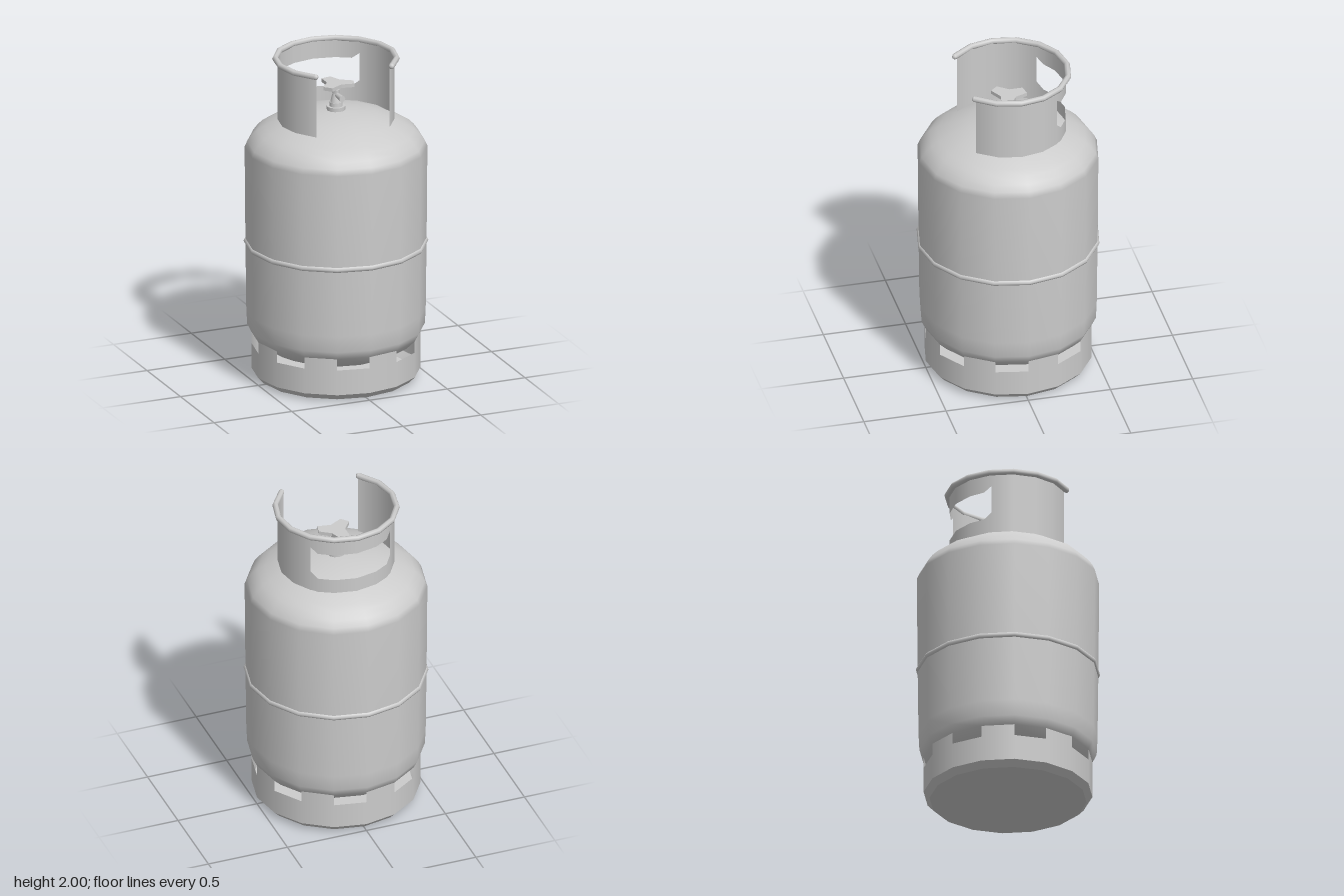
import * as THREE from 'three';

const SIDES = 16;
const STEP = (Math.PI * 2) / SIDES;
const DEG = Math.PI / 180;

export function createModel() {
  const model = new THREE.Group();
  const grey = new THREE.MeshStandardMaterial({ color: 0xcccccc });
  const sheet = new THREE.MeshStandardMaterial({ color: 0xcccccc, side: THREE.DoubleSide });

  const add = (name, geometry, material = grey, parent = model) => {
    const mesh = new THREE.Mesh(geometry, material);
    mesh.name = name;
    parent.add(mesh);
    return mesh;
  };
  const lathe = (points, sides = SIDES) =>
    new THREE.LatheGeometry(points.map(([r, y]) => new THREE.Vector2(r, y)), sides);

  // Curved sheet strip; columns are [angle from the front in degrees, low y, high y]
  const strip = (radius, columns) => {
    const position = [], normal = [], index = [];
    columns.forEach(([deg, lo, hi], i) => {
      const s = Math.sin(deg * DEG), c = Math.cos(deg * DEG);
      for (const y of [lo, hi]) {
        position.push(radius * s, y, radius * c);
        normal.push(s, 0, c);
      }
      if (i > 0) {
        const a = 2 * i - 2;
        index.push(a, a + 2, a + 3, a, a + 3, a + 1);
      }
    });
    const g = new THREE.BufferGeometry();
    g.setAttribute('position', new THREE.Float32BufferAttribute(position, 3));
    g.setAttribute('normal', new THREE.Float32BufferAttribute(normal, 3));
    g.setIndex(index);
    return g;
  };

  // Tank with domed ends
  add('tank', lathe([
    [0, 0.13], [0.2, 0.14], [0.36, 0.175], [0.45, 0.22], [0.5, 0.27], [0.525, 0.32],
    [0.53, 0.42], [0.535, 0.83], [0.54, 1.43], [0.525, 1.465], [0.5, 1.5], [0.465, 1.535],
    [0.42, 1.56], [0.345, 1.6], [0.24, 1.635], [0.12, 1.657], [0, 1.665],
  ]));

  // Weld bead around the middle
  add('weldBead', lathe([
    [0.53, 0.822], [0.54, 0.827], [0.546, 0.84], [0.54, 0.853], [0.53, 0.858],
  ]));

  // Foot ring, closed underneath, with a raised tab on every other side
  const foot = new THREE.Group();
  foot.name = 'footRing';
  model.add(foot);
  add('footWall', lathe([[0.5, 0.045], [0.5, 0.2]]), sheet, foot);
  add('footChamfer', lathe([[0.465, 0.008], [0.5, 0.045]]), sheet, foot);
  add('footBottom', lathe([[0, 0], [0.11, 0], [0.465, 0.008]]), sheet, foot);
  for (let i = 0; i < SIDES; i += 2) {
    const a = (i * STEP) / DEG;
    add('footTab', strip(0.5, [[a, 0.2, 0.27], [a + 22.5, 0.2, 0.27]]), sheet, foot);
  }

  // Guard collar: open at the front, with a window at the back
  const collar = new THREE.Group();
  collar.name = 'collar';
  model.add(collar);
  const R = 0.345, LOW = 1.597, TOP = 1.985;
  for (const side of [1, -1]) {
    const pillar = [43, 45, 67.5, 90, 112.5, 133].map((a) => [a * side, LOW, TOP]);
    add('collarPillar', strip(R, side > 0 ? pillar : pillar.reverse()), sheet, collar);
  }
  const backAngles = [133, 141, 157.5, 180, 202.5, 219, 227];
  const atEdge = (i) => i === 0 || i === backAngles.length - 1;
  add('collarLowerBand', strip(R, backAngles.map((a, i) => [a, LOW, atEdge(i) ? 1.73 : 1.69])), sheet, collar);
  add('collarUpperBand', strip(R, backAngles.map((a, i) => [a, atEdge(i) ? 1.9 : 1.865, TOP])), sheet, collar);

  // Rolled rim on top of the collar
  const rimPoints = [];
  for (let i = 0; i <= 12; i++) {
    const a = (43 + (274 * i) / 12) * DEG;
    rimPoints.push(new THREE.Vector3(0.359 * Math.sin(a), 1.982, 0.359 * Math.cos(a)));
  }
  const rimCurve = new THREE.CatmullRomCurve3(rimPoints);
  add('collarRim', new THREE.TubeGeometry(rimCurve, 12, 0.018, 8), grey, collar);
  for (const end of [rimPoints[0], rimPoints[12]]) {
    add('rimEnd', new THREE.SphereGeometry(0.018, 8, 6), grey, collar).position.copy(end);
  }

  // Valve: stepped body, stem, outlet and three-armed hand wheel
  const valve = new THREE.Group();
  valve.name = 'valve';
  model.add(valve);
  const turned = (name, y, height, bottom, top, sides = 12) => {
    add(name, new THREE.CylinderGeometry(top, bottom, height, sides), grey, valve).position.y = y + height / 2;
  };
  turned('valveFlange', 1.65, 0.035, 0.056, 0.056);
  turned('valveCollar', 1.685, 0.025, 0.04, 0.038);
  turned('valveBody', 1.71, 0.055, 0.034, 0.02);
  turned('valveNut', 1.765, 0.022, 0.024, 0.024, 6);
  turned('valveStem', 1.787, 0.025, 0.014, 0.014);

  const outlet = add('valveOutlet', new THREE.CylinderGeometry(0.019, 0.014, 0.09, 8), grey, valve);
  outlet.rotation.x = Math.PI / 2;
  outlet.position.set(0, 1.755, 0.05);

  const wheelOutline = [
    [-0.05, -0.1], [0.012, -0.112], [0.04, -0.04], [0.108, 0.008], [0.092, 0.062],
    [0.015, 0.047], [-0.062, 0.088], [-0.1, 0.044], [-0.05, -0.02],
  ];
  const wheelShape = new THREE.Shape(wheelOutline.map(([x, z]) => new THREE.Vector2(x, -z)));
  const wheel = add('handWheel',
    new THREE.ExtrudeGeometry(wheelShape, { depth: 0.022, bevelEnabled: false }), grey, valve);
  wheel.rotation.x = -Math.PI / 2;
  wheel.position.y = 1.807;

  return model;
}
